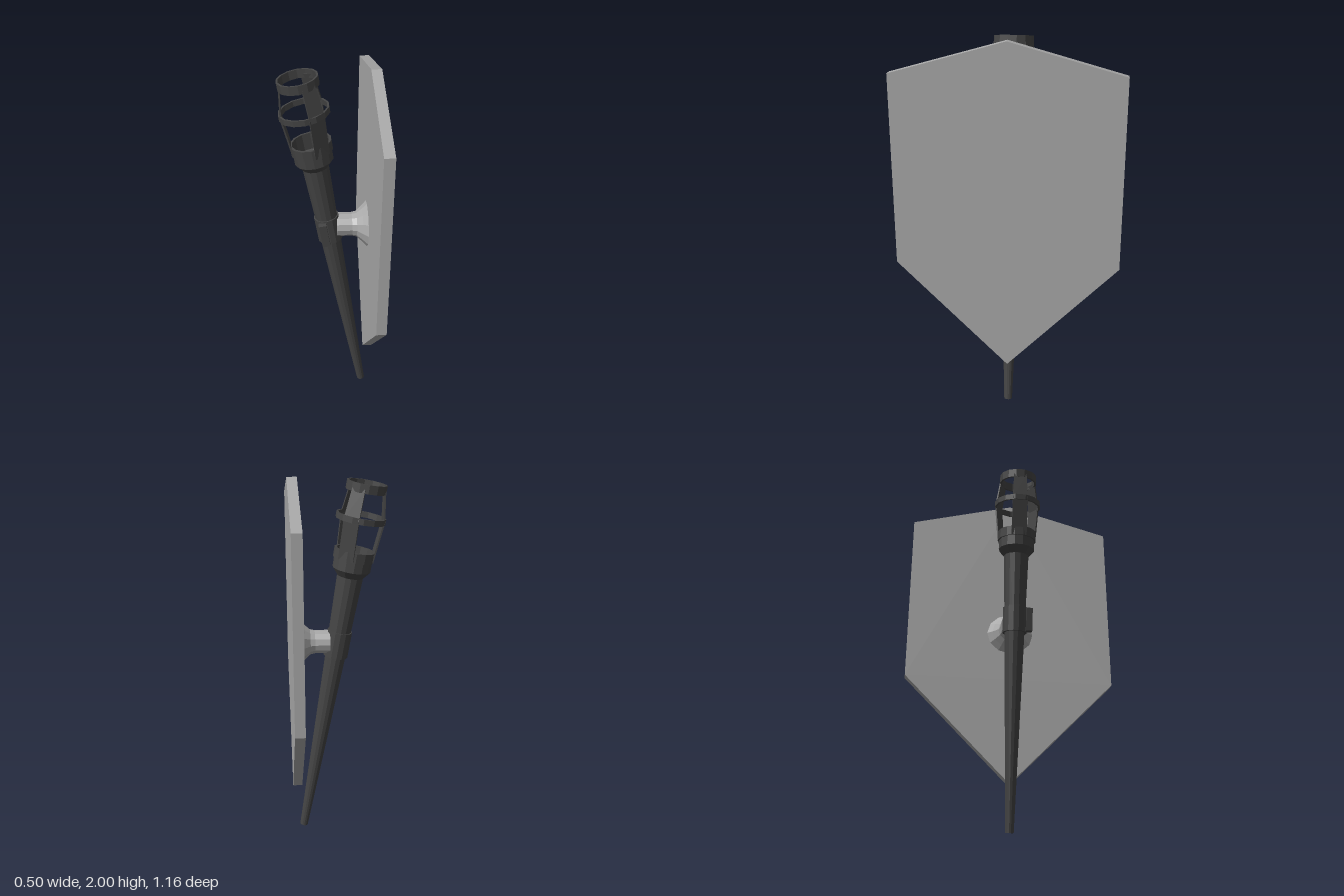
import * as THREE from 'three';

const SIDES = 14;
const darkMetal = new THREE.MeshStandardMaterial({ color: 0x444444, flatShading: true });
darkMetal.name = 'dark metal';
const paleMetal = new THREE.MeshStandardMaterial({ color: 0xa8a8a8, flatShading: true });
paleMetal.name = 'pale metal';

function addMesh(parent, name, geometry, material) {
  const mesh = new THREE.Mesh(geometry, material);
  mesh.name = name;
  parent.add(mesh);
  return mesh;
}

// Turned solid from [radius, height] pairs, outer side listed upwards
function turned(points, sides = SIDES) {
  return new THREE.LatheGeometry(points.map(([r, y]) => new THREE.Vector2(r, y)), sides);
}

// Hollow hoop with a rectangular section
function hoop(radius, low, high, wall = 0.01) {
  const inner = radius - wall;
  return turned([[radius, low], [radius, high], [inner, high], [inner, low], [radius, low]]);
}

// Bent strip joining the cup and the hoops, narrowing towards the top
function slatGeometry() {
  const path = [[0.1, 1.6], [0.121, 1.815], [0.097, 1.97]];
  const wall = 0.008;
  const outline = [...path, ...path.map(([r, y]) => [r - wall, y]).reverse()];
  const shape = new THREE.Shape(outline.map(([r, y]) => new THREE.Vector2(r, y)));
  const geometry = new THREE.ExtrudeGeometry(shape, { depth: 1, bevelEnabled: false });
  geometry.translate(0, 0, -0.5);
  const pos = geometry.attributes.position;
  for (let i = 0; i < pos.count; i++) {
    const width = pos.getY(i) > 1.9 ? 0.07 : 0.084;
    pos.setZ(i, pos.getZ(i) * width);
  }
  geometry.computeVertexNormals();
  return geometry;
}

function buildTorch() {
  const torch = new THREE.Group();
  torch.name = 'torch';

  // Tapered handle
  addMesh(torch, 'handle', turned([
    [0, 0], [0.022, 0], [0.055, 1.06], [0.069, 1.51], [0, 1.51],
  ]), darkMetal);

  // Open cup with a flared base and raised lip
  addMesh(torch, 'cup', turned([
    [0.067, 1.505], [0.1, 1.545], [0.1, 1.598], [0.107, 1.598], [0.107, 1.65],
    [0.095, 1.65], [0.095, 1.56], [0.067, 1.515], [0, 1.515],
  ]), darkMetal);

  // Cage of hoops and slats
  addMesh(torch, 'middleHoop', hoop(0.129, 1.8, 1.83), darkMetal);
  addMesh(torch, 'topHoop', hoop(0.104, 1.95, 1.995), darkMetal);
  const slat = slatGeometry();
  for (const angle of [Math.PI, Math.PI / 3, -Math.PI / 3]) {
    addMesh(torch, 'cageSlat', slat, darkMetal).rotation.y = angle;
  }

  // Clamp around the handle
  addMesh(torch, 'clamp', hoop(0.066, 1.062, 1.205, 0.02), darkMetal);
  const tab = addMesh(torch, 'clampTab', new THREE.BoxGeometry(0.04, 0.13, 0.035), darkMetal);
  tab.position.set(-0.025, 1.133, 0.075);

  torch.position.set(0.194, 0.004, 0);
  torch.rotation.z = THREE.MathUtils.degToRad(10);
  return torch;
}

export function createModel() {
  const model = new THREE.Group();
  model.name = 'wallTorch';

  // Six-sided wall plate
  const outline = [[0, 2], [-0.58, 1.84], [-0.58, 0.85], [0, 0.26], [0.58, 0.85], [0.58, 1.84]];
  const shape = new THREE.Shape(outline.map(([z, y]) => new THREE.Vector2(z, y)));
  const plate = new THREE.ExtrudeGeometry(shape, { depth: 0.052, bevelEnabled: false });
  plate.rotateY(-Math.PI / 2);
  plate.translate(0.252, 0, 0);
  addMesh(model, 'wallPlate', plate, paleMetal);

  // Flared bracket between plate and clamp
  const bracket = turned([
    [0.12, 0], [0.095, 0.025], [0.068, 0.055], [0.062, 0.08], [0.062, 0.16], [0, 0.16],
  ], 12);
  bracket.rotateZ(Math.PI / 2);
  bracket.scale(1, 1, 1.08);
  bracket.translate(0.2, 1.132, 0);
  addMesh(model, 'bracket', bracket, paleMetal);

  model.add(buildTorch());
  return model;
}
